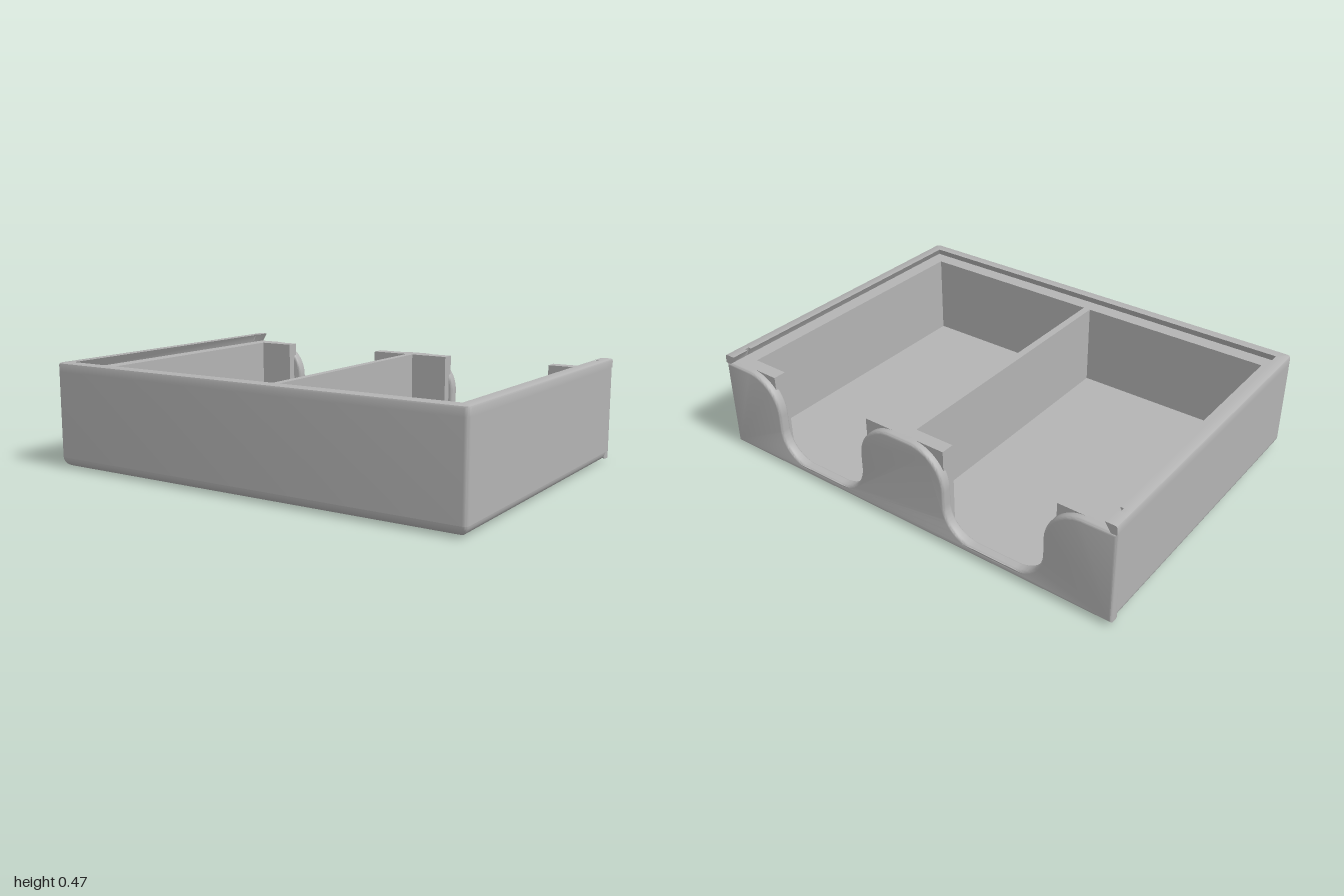
import * as THREE from 'three';
import { toCreasedNormals } from 'three/addons/utils/BufferGeometryUtils.js';

const HALF_X = 1, HALF_Z = 0.73, CORNER = 0.02;
const FLOOR = 0.048, LEDGE = 0.43, TOP = 0.47;
const BACK_IN = -0.7; // where the inner body meets the back wall

// Arc points of one corner, inset from the outer rectangle
function corner(sx, sz, from, inset) {
  const r = Math.max(CORNER - inset, 0), pts = [];
  for (let i = 0; i <= 5; i++) {
    const a = from - (i / 5) * Math.PI / 2;
    pts.push([
      sx * (HALF_X - inset - r) + r * Math.cos(a),
      sz * (HALF_Z - inset - r) + r * Math.sin(a),
    ]);
  }
  return pts;
}
const frontCorners = (d) => [...corner(-1, 1, Math.PI, d), ...corner(1, 1, Math.PI / 2, d)];

// Surface through rows of points; optional flat ends
function skin(rows, caps) {
  const n = rows[0].length, pos = rows.flat(2), idx = [];
  for (let i = 0; i < rows.length - 1; i++) {
    for (let j = 0; j < n - 1; j++) {
      const a = i * n + j, d = a + n;
      idx.push(a, a + 1, d + 1, a, d + 1, d);
    }
  }
  if (caps) {
    for (let i = 1; i < rows.length - 1; i++) {
      idx.push(0, i * n, (i + 1) * n);
      idx.push(n - 1, (i + 2) * n - 1, (i + 1) * n - 1);
    }
  }
  const g = new THREE.BufferGeometry();
  g.setAttribute('position', new THREE.Float32BufferAttribute(pos, 3));
  g.setIndex(idx);
  return toCreasedNormals(g, 0.6);
}

// Floor slab with a rounded lower edge
function baseGeometry() {
  const profile = [[HALF_Z, 0]];
  for (let i = 0; i <= 8; i++) {
    const a = (i / 8) * Math.PI / 2;
    profile.push([0.06 * (1 - Math.sin(a)), FLOOR * (1 - Math.cos(a))]);
  }
  profile.push([HALF_Z, FLOOR]);
  return skin(profile.map(([d, y]) => {
    const ring = [...frontCorners(d), ...corner(1, -1, 0, d), ...corner(-1, -1, -Math.PI / 2, d)];
    ring.push(ring[0]);
    return ring.map(([x, z]) => [x, y, z]);
  }));
}

// Side walls, front wall, divider and the posts beside the finger cutouts
function bodyGeometry() {
  const half = [
    [0.905, BACK_IN, 0], [0.73, BACK_IN, 1], [0.73, -0.64, 1],
    [0.905, -0.64, 1], [0.905, 0.635, 1], [0.017, 0.635, 1],
    [0.017, -0.64, 1], [0.2, -0.64, 1], [0.2, BACK_IN, 1],
  ].slice(1).map(([x, z]) => [x, z]);
  const outline = [
    [-HALF_X, BACK_IN], ...frontCorners(0), [HALF_X, BACK_IN],
    ...half, ...half.map(([x, z]) => [-x, z]).reverse(),
  ];
  const shape = new THREE.Shape(outline.map(([x, z]) => new THREE.Vector2(x, z)));
  const g = new THREE.ExtrudeGeometry(shape, { depth: LEDGE - FLOOR + 0.002, bevelEnabled: false });
  g.rotateX(Math.PI / 2).translate(0, LEDGE, 0);
  return toCreasedNormals(g, 0.6);
}

// Back wall with two S-curved finger cutouts and softened edges
function backWallGeometry() {
  const s = new THREE.Shape(), P = Math.PI, low = 0.05, bevel = 0.012;
  s.moveTo(HALF_X, LEDGE);
  s.lineTo(HALF_X, 0.015);
  s.lineTo(-HALF_X, 0.015);
  s.lineTo(-HALF_X, LEDGE);
  for (const c of [-0.455, 0.455]) {
    s.absarc(c - 0.405, LEDGE - 0.17, 0.17, P / 2, 0, true);
    s.absarc(c - 0.095, low + 0.14, 0.14, P, 1.5 * P, false);
    s.absarc(c + 0.095, low + 0.14, 0.14, -P / 2, 0, false);
    s.absarc(c + 0.405, LEDGE - 0.17, 0.17, P, P / 2, true);
  }
  const g = new THREE.ExtrudeGeometry(s, {
    depth: 0.05 - 2 * bevel, curveSegments: 14,
    bevelEnabled: true, bevelSize: bevel, bevelThickness: bevel, bevelOffset: -bevel, bevelSegments: 3,
  });
  g.translate(0, 0, -HALF_Z + bevel);
  return toCreasedNormals(g, 0.6);
}

// Raised rim on three sides, undercut to hold a sliding lid, with a small catch notch per side
function rimGeometry() {
  const profile = [
    [0, LEDGE], [0, 0.46], [0.003, 0.467], [0.01, TOP], [0.052, TOP], [0.026, LEDGE],
  ];
  const stops = [[-HALF_Z, 0], [-0.65, 0], [-0.65, 0.016], [-0.63, 0.016], [-0.63, 0]];
  return skin(profile.map(([d, y]) => {
    const side = stops.map(([z, notch]) => [HALF_X - d + (d > 0.05 ? notch : 0), z]);
    return [
      ...side.map(([x, z]) => [-x, z]), ...frontCorners(d), ...side.slice().reverse(),
    ].map(([x, z]) => [x, y, z]);
  }), true);
}

export function createModel() {
  const grey = new THREE.MeshStandardMaterial({ color: 0xb3b3b3 });
  grey.name = 'grey';
  const tray = new THREE.Group();
  tray.name = 'tray';
  const parts = {
    base: baseGeometry(),
    wallsAndDivider: bodyGeometry(),
    backWall: backWallGeometry(),
    lidRim: rimGeometry(),
  };
  for (const [name, geometry] of Object.entries(parts)) {
    const mesh = new THREE.Mesh(geometry, grey);
    mesh.name = name;
    tray.add(mesh);
  }
  return tray;
}
